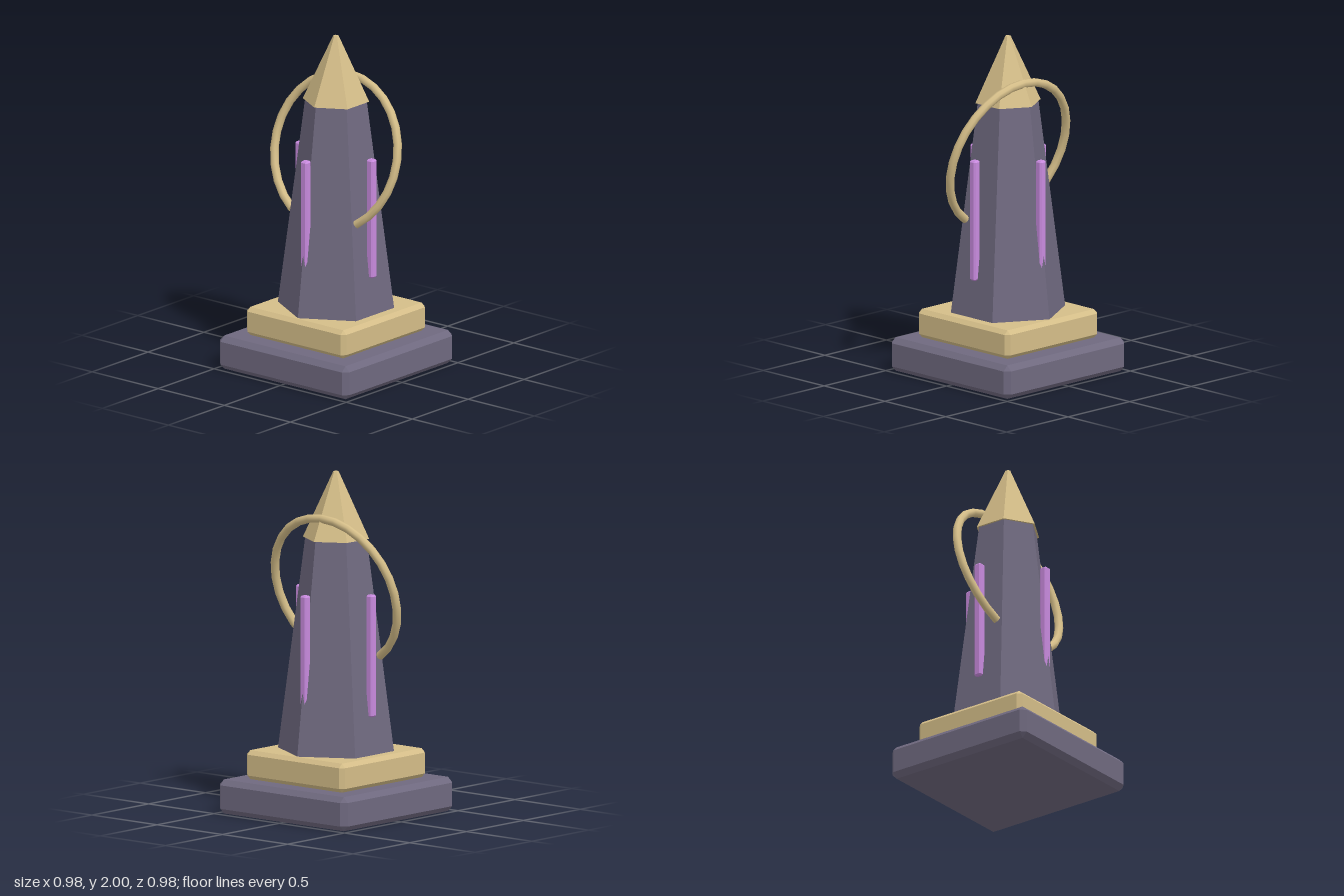
import * as THREE from 'three';
import { ConvexGeometry } from 'three/addons/geometries/ConvexGeometry.js';

// Box with every edge and corner cut flat by c
function chamferBox(w, h, d, c) {
  const [x, y, z] = [w / 2, h / 2, d / 2];
  const points = [];
  for (const sx of [-1, 1]) for (const sy of [-1, 1]) for (const sz of [-1, 1]) {
    points.push(
      new THREE.Vector3(sx * x, sy * (y - c), sz * (z - c)),
      new THREE.Vector3(sx * (x - c), sy * y, sz * (z - c)),
      new THREE.Vector3(sx * (x - c), sy * (y - c), sz * z));
  }
  return new ConvexGeometry(points);
}

// Six-sided tapered column with flat facets and a corner facing the front
function hexColumn(rTop, rBottom, y0, y1) {
  const g = new THREE.CylinderGeometry(rTop, rBottom, y1 - y0, 6).toNonIndexed();
  g.computeVertexNormals();
  return g.translate(0, (y0 + y1) / 2, 0);
}

export function createModel() {
  const model = new THREE.Group();
  model.name = 'obelisk';
  const stone = new THREE.MeshStandardMaterial({ color: 0x6f697f });
  const gold = new THREE.MeshStandardMaterial({ color: 0xd4bd88 });
  const crystal = new THREE.MeshStandardMaterial({ color: 0xc88ade });
  stone.name = 'slate stone';
  gold.name = 'pale gold';
  crystal.name = 'violet crystal';

  const add = (name, geometry, material, parent = model) => {
    const mesh = new THREE.Mesh(geometry, material);
    mesh.name = name;
    parent.add(mesh);
    return mesh;
  };

  // Stepped plinth
  add('base', chamferBox(0.98, 0.2, 0.98, 0.031), stone).position.y = 0.1;
  add('plinth', chamferBox(0.75, 0.17, 0.75, 0.024), gold).position.y = 0.285;

  // Shaft and pointed cap
  add('shaft', hexColumn(0.18, 0.342, 0.365, 1.62), stone);
  add('cap', hexColumn(0.016, 0.195, 1.61, 2), gold);

  // Four upright bars around the shaft
  for (let i = 0; i < 4; i++) {
    const a = i * Math.PI / 2;
    const bar = add('crystalBar' + (i + 1), chamferBox(0.048, 0.715, 0.048, 0.009), crystal);
    bar.position.set(0.27 * Math.sin(a), 0.948, 0.27 * Math.cos(a));
  }

  // Open ring, leaning back, with its gap low at the front
  const R = 0.455, r = 0.025, arc = Math.PI * 1.64;
  const ring = new THREE.Group();
  ring.name = 'ring';
  ring.position.y = 1.3;
  ring.rotation.x = -0.28;
  model.add(ring);
  const start = (Math.PI - arc) / 2;
  add('ringTube', new THREE.TorusGeometry(R, r, 8, 24, arc).rotateZ(start), gold, ring);
  // Flat ends of the ring
  for (const [name, angle, turn] of [['ringEndLeft', start, 1], ['ringEndRight', start + arc, -1]]) {
    const end = new THREE.CircleGeometry(r, 8).rotateX(turn * Math.PI / 2);
    add(name, end.translate(R, 0, 0).rotateZ(angle), gold, ring);
  }
  return model;
}
